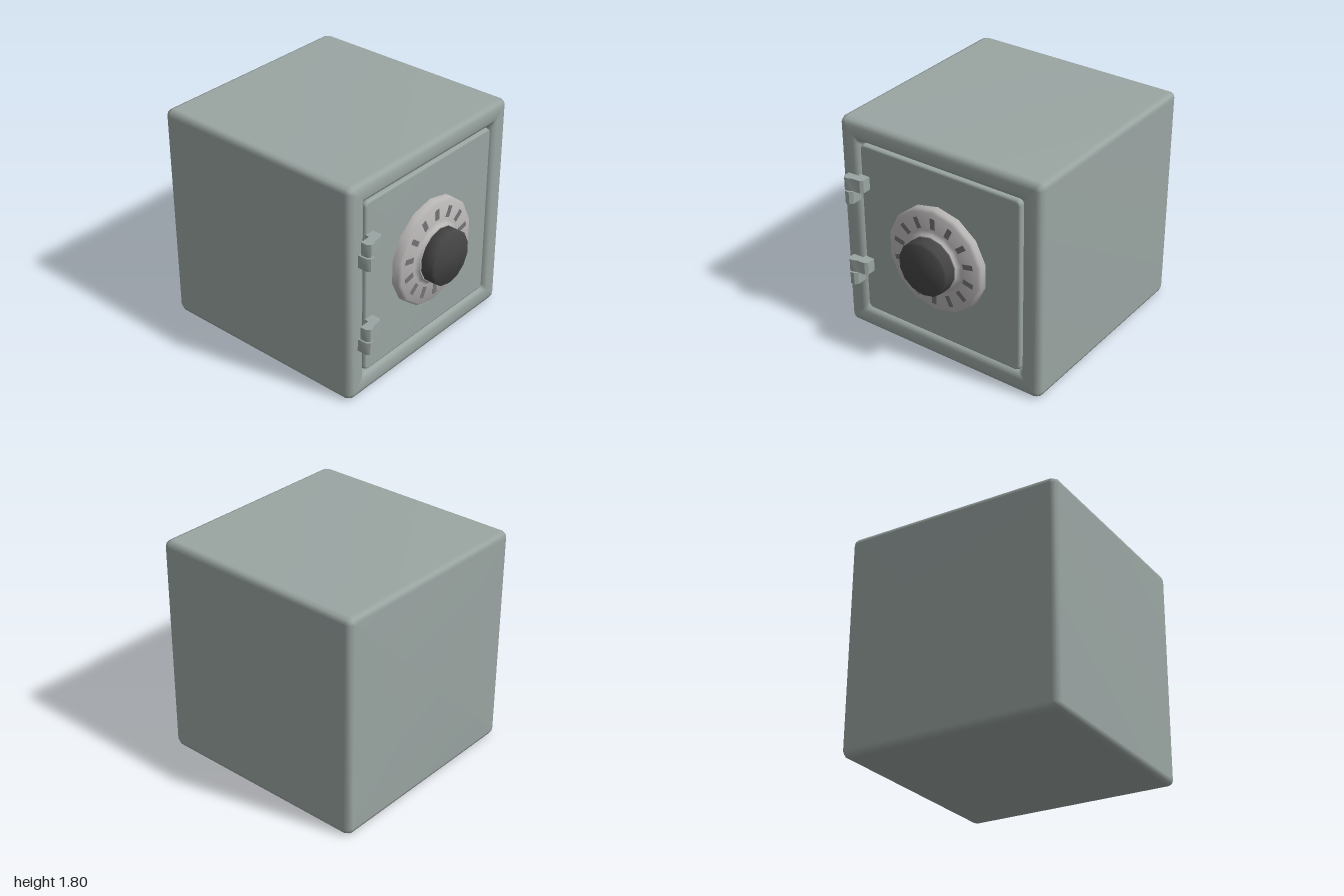
import * as THREE from 'three';
import { toCreasedNormals } from 'three/addons/utils/BufferGeometryUtils.js';

const CY = 0.9; // height of the safe's centre

const paint = (color) => new THREE.MeshStandardMaterial({ color });

function add(parent, name, geometry, material) {
  const mesh = new THREE.Mesh(geometry, material);
  mesh.name = name;
  parent.add(mesh);
  return mesh;
}

// Skin over rounded squares; each ring is [half size, z, corner radius]
function squareLoft(rings, steps = 2) {
  const pos = [], index = [];
  const n = 4 * (steps + 1);
  for (const [h, z, r] of rings) {
    for (let c = 0; c < 4; c++) {
      const mid = Math.PI / 4 + c * Math.PI / 2;
      const cx = Math.sign(Math.cos(mid)) * (h - r);
      const cy = Math.sign(Math.sin(mid)) * (h - r);
      for (let s = 0; s <= steps; s++) {
        const a = (c + s / steps) * Math.PI / 2;
        pos.push(cx + r * Math.cos(a), cy + r * Math.sin(a), z);
      }
    }
  }
  for (let i = 0; i < rings.length - 1; i++) {
    for (let j = 0; j < n; j++) {
      const a = i * n + j, b = i * n + (j + 1) % n;
      index.push(a, b, b + n, a, b + n, a + n);
    }
  }
  const g = new THREE.BufferGeometry();
  g.setAttribute('position', new THREE.Float32BufferAttribute(pos, 3));
  g.setIndex(index);
  g.computeVertexNormals();
  return g;
}

// Fourteen-sided turned part along z, from [radius, z] points
function turned(points) {
  const g = new THREE.LatheGeometry(points.map(([r, z]) => new THREE.Vector2(r, z)), 14);
  g.rotateX(Math.PI / 2);
  return toCreasedNormals(g, 0.9);
}

// Plan outline [x, z] raised upright between two heights
function upright(outline, y0, y1) {
  const shape = new THREE.Shape(outline.map(([x, z]) => new THREE.Vector2(x, -z)));
  const g = new THREE.ExtrudeGeometry(shape, { depth: y1 - y0, bevelEnabled: false });
  g.rotateX(-Math.PI / 2);
  g.translate(0, y0, 0);
  return toCreasedNormals(g, 0.7);
}

export function createModel() {
  const safe = new THREE.Group();
  safe.name = 'safe';
  const steel = paint(0x9aa5a2), silver = paint(0xb8b5b5);
  const black = paint(0x454545), markGrey = paint(0x747474);

  // Body with a rounded door frame
  add(safe, 'body', squareLoft([
    [0, -1, 0], [0.85, -1, 0], [0.885, -0.985, 0.035], [0.9, -0.95, 0.05],
    [0.9, 0.75, 0.05], [0.885, 0.785, 0.035], [0.85, 0.8, 0.01],
    [0.775, 0.8, 0.01], [0.745, 0.785, 0.03], [0.73, 0.755, 0.04],
    [0.73, 0.7, 0.04], [0, 0.7, 0],
  ]), steel).position.y = CY;

  // Door
  add(safe, 'door', squareLoft([
    [0.72, 0.7, 0.04], [0.72, 0.77, 0.04], [0.713, 0.785, 0.033],
    [0.7, 0.79, 0.02], [0, 0.79, 0],
  ]), steel).position.y = CY;

  // Dial, marks and knob
  const lock = new THREE.Group();
  lock.name = 'combinationLock';
  lock.position.y = CY;
  safe.add(lock);
  add(lock, 'dial', turned([
    [0.43, 0.78], [0.43, 0.84], [0.41, 0.86], [0.26, 0.86],
    [0.235, 0.87], [0.225, 0.89], [0, 0.89],
  ]), silver);
  add(lock, 'knob', turned([
    [0.205, 0.88], [0.22, 0.895], [0.22, 0.985], [0.205, 1], [0, 1],
  ]), black);
  for (let i = 0; i < 14; i++) {
    const a = i * Math.PI / 7;
    const mark = add(lock, 'dialMark', new THREE.BoxGeometry(0.042, 0.09, 0.006), markGrey);
    mark.position.set(-0.32 * Math.sin(a), 0.32 * Math.cos(a), 0.86);
    mark.rotation.z = a;
  }

  // Hinges: door leaf above, frame leaf below, pin through both
  const doorLeaf = [
    [-0.81, 0.825], [-0.81, 0.875], [-0.79, 0.9], [-0.765, 0.9], [-0.73, 0.885],
    [-0.66, 0.88], [-0.64, 0.86], [-0.64, 0.785], [-0.72, 0.785], [-0.72, 0.82],
  ];
  const frameLeaf = [
    [-0.81, 0.79], [-0.81, 0.875], [-0.79, 0.9], [-0.755, 0.9], [-0.733, 0.875], [-0.733, 0.79],
  ];
  for (const y of [0.43, 1.145]) {
    const hinge = new THREE.Group();
    hinge.name = 'hinge';
    hinge.position.y = y;
    safe.add(hinge);
    add(hinge, 'doorLeaf', upright(doorLeaf, 0.115, 0.22), steel);
    add(hinge, 'frameLeaf', upright(frameLeaf, 0, 0.103), steel);
    add(hinge, 'pin', new THREE.CylinderGeometry(0.022, 0.022, 0.12, 8), steel)
      .position.set(-0.772, 0.11, 0.86);
  }
  return safe;
}
